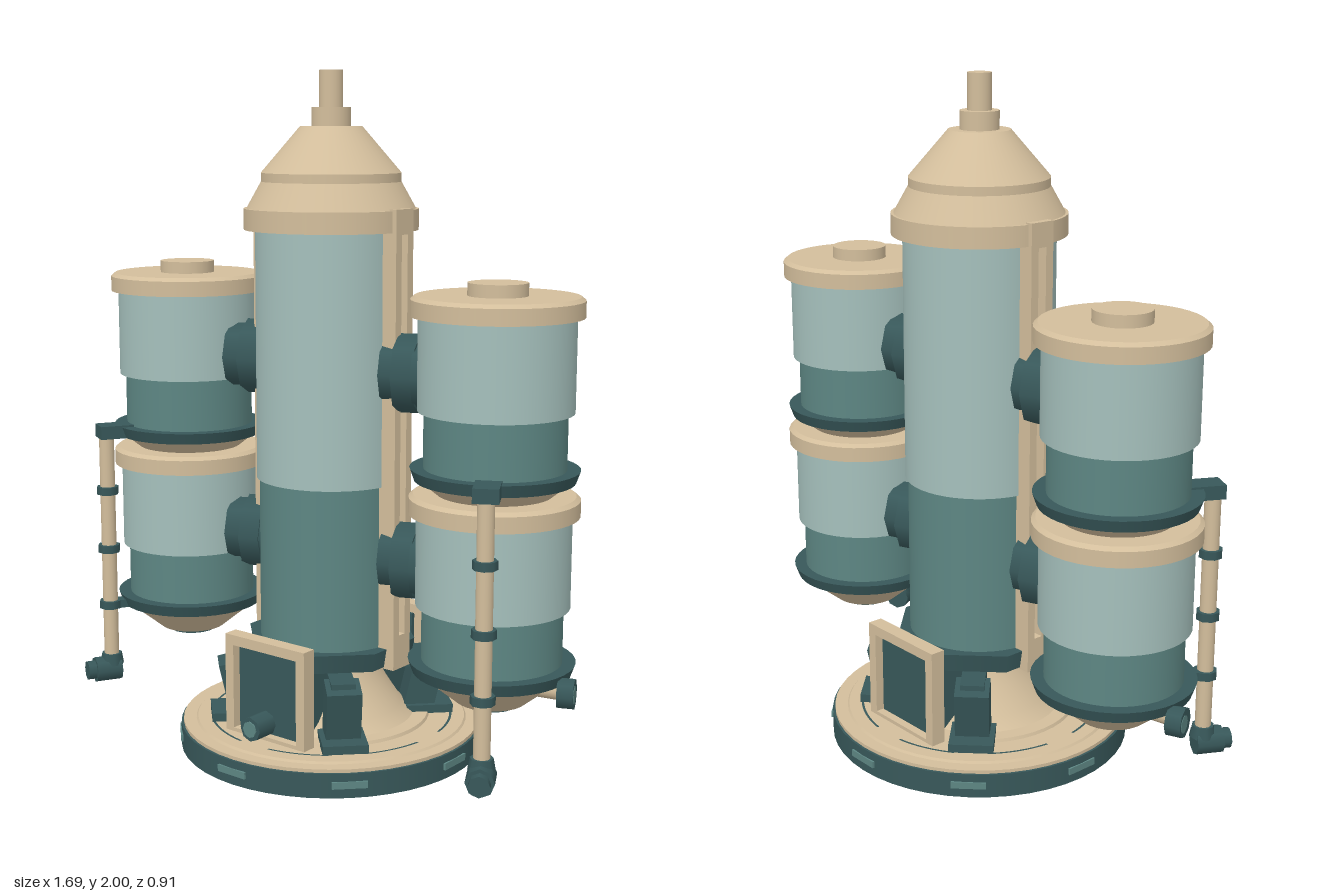
import * as THREE from 'three';

const mat = (name, color) => {
  const m = new THREE.MeshStandardMaterial({ color });
  m.name = name;
  return m;
};

export function createModel() {
  const tan = mat('sand', 0xd3be9c);
  const light = mat('paleTeal', 0xa5c0bc);
  const teal = mat('teal', 0x5d8683);
  const dark = mat('darkTeal', 0x38585a);
  const root = new THREE.Group();
  root.name = 'storageTower';

  const add = (parent, name, geo, material, x = 0, y = 0, z = 0) => {
    const m = new THREE.Mesh(geo, material);
    m.name = name;
    m.position.set(x, y, z);
    parent.add(m);
    return m;
  };
  // Upright cylinder or cone frustum between two heights
  const cyl = (parent, name, rTop, rBottom, y0, y1, material, x = 0, z = 0, n = 40) =>
    add(parent, name, new THREE.CylinderGeometry(rTop, rBottom, y1 - y0, n), material, x, (y0 + y1) / 2, z);
  // Cylinder lying along x
  const cylX = (parent, name, r, x0, x1, y, material, n = 16, z = 0) => {
    const m = add(parent, name, new THREE.CylinderGeometry(r, r, x1 - x0, n).rotateX(Math.PI / n), material, (x0 + x1) / 2, y, z);
    m.rotation.z = Math.PI / 2;
    return m;
  };
  const box = (parent, name, w, h, d, material, x, y, z) =>
    add(parent, name, new THREE.BoxGeometry(w, h, d), material, x, y, z);
  // Rectangular frame with a rectangular opening, extruded along z
  const frame = (w, y0, y1, holeW, h0, h1, depth) => {
    const s = new THREE.Shape([[-w, y0], [w, y0], [w, y1], [-w, y1]].map(p => new THREE.Vector2(...p)));
    s.holes.push(new THREE.Path([[-holeW, h0], [-holeW, h1], [holeW, h1], [holeW, h0]].map(p => new THREE.Vector2(...p))));
    return new THREE.ExtrudeGeometry(s, { depth, bevelEnabled: false });
  };

  // Round base with a stepped deck
  const base = new THREE.Group();
  base.name = 'base';
  root.add(base);
  cyl(base, 'baseDisc', 0.45, 0.45, 0.022, 0.093, dark, 0, 0, 48);
  cyl(base, 'baseRim', 0.443, 0.443, 0.093, 0.103, tan, 0, 0, 48);
  cyl(base, 'deckStep', 0.4, 0.405, 0.103, 0.109, tan, 0, 0, 48);
  cyl(base, 'deckPlate', 0.29, 0.295, 0.106, 0.118, tan, 0, 0, 48);
  for (let i = 0; i < 8; i++) {
    const a = i * Math.PI / 4;
    const arc = add(base, 'deckGroove', new THREE.RingGeometry(0.355, 0.362, 12, 1, a + 0.15, 0.5), dark, 0, 0.1105, 0);
    arc.rotation.x = -Math.PI / 2;
    const slot = box(base, 'rimSlot', 0.1, 0.02, 0.008, teal, Math.sin(a) * 0.449, 0.06, Math.cos(a) * 0.449);
    slot.rotation.y = a;
  }

  // Flared pedestal
  const flare = [[0.25, 0.115], [0.21, 0.15], [0.165, 0.22], [0.13, 0.285], [0.13, 0.32]];
  add(base, 'pedestal', new THREE.LatheGeometry(flare.map(p => new THREE.Vector2(...p)), 40), tan);
  const ring = cyl(base, 'pedestalRing', 0.255, 0.245, 0.305, 0.36, dark, 0, 0, 8);
  ring.rotation.y = Math.PI / 8;

  // Leaning diagonal braces with feet under the base
  for (let i = 0; i < 4; i++) {
    const a = Math.PI / 4 + i * Math.PI / 2;
    const brace = new THREE.Group();
    brace.name = 'brace';
    brace.rotation.y = a;
    base.add(brace);
    const block = box(brace, 'braceBlock', 0.1, 0.18, 0.09, dark, 0, 0.2, 0.275);
    block.rotation.x = 0.22;
    box(brace, 'braceCap', 0.07, 0.05, 0.12, dark, 0, 0.275, 0.25);
    box(brace, 'braceFoot', 0.13, 0.025, 0.14, dark, 0, 0.125, 0.29);
    cyl(brace, 'foot', 0.045, 0.035, 0, 0.024, dark, 0, 0.3, 8);
  }

  // Framed hatches at the front and the back
  for (const s of [1, -1]) {
    const hatch = new THREE.Group();
    hatch.name = s > 0 ? 'frontHatch' : 'backHatch';
    hatch.rotation.y = s > 0 ? 0 : Math.PI;
    base.add(hatch);
    add(hatch, 'hatchFrame', frame(0.147, 0.105, 0.4, 0.117, 0.12, 0.37, 0.045), tan, 0, 0, 0.263);
    box(hatch, 'hatchPanel', 0.23, 0.26, 0.03, dark, 0, 0.243, 0.268);
    box(hatch, 'hatchDuct', 0.2, 0.22, 0.14, dark, 0, 0.22, 0.19);
    if (s > 0) {
      const knob = cyl(hatch, 'hatchValve', 0.036, 0.036, 0.125, 0.195, dark, 0, 0.335, 8);
      knob.rotation.x = Math.PI / 2;
      const face = cyl(hatch, 'valveFace', 0.024, 0.024, 0.157, 0.163, teal, 0, 0.371, 8);
      face.rotation.x = Math.PI / 2;
    }
  }

  // Central tank
  const tank = new THREE.Group();
  tank.name = 'centralTank';
  root.add(tank);
  cyl(tank, 'tankLower', 0.21, 0.21, 0.32, 0.835, teal, 0, 0, 48);
  cyl(tank, 'tankUpper', 0.218, 0.218, 0.835, 1.56, light, 0, 0, 48);
  cyl(tank, 'tankCollar', 0.25, 0.25, 1.555, 1.615, tan, 0, 0, 48);
  cyl(tank, 'domeSkirt', 0.2, 0.242, 1.615, 1.69, tan, 0, 0, 48);
  cyl(tank, 'domeBand', 0.2, 0.2, 1.69, 1.715, tan, 0, 0, 48);
  cyl(tank, 'domeCone', 0.088, 0.2, 1.715, 1.845, tan, 0, 0, 48);
  cyl(tank, 'ventCollar', 0.056, 0.056, 1.845, 1.897, tan, 0, 0, 24);
  cyl(tank, 'ventPipe', 0.034, 0.034, 1.897, 2.0, tan, 0, 0, 24);

  // A pair of stacked pods on each side
  for (const s of [1, -1]) {
    const side = new THREE.Group();
    side.name = s > 0 ? 'leftPods' : 'rightPods';
    root.add(side);
    const px = s * 0.567;
    const alongX = (name, r, a, b, y, m, n) => cylX(side, name, r, Math.min(s * a, s * b), Math.max(s * a, s * b), y, m, n);

    // Slotted rail on the tank
    const rail = add(side, 'rail', frame(0.04, 0.3, 1.62, 0.014, 0.4, 1.55, 0.06), tan, s * 0.2, 0, 0);
    rail.rotation.y = s * Math.PI / 2;
    box(side, 'railSlot', 0.02, 1.15, 0.03, dark, s * 0.215, 0.975, 0);

    for (const y of [0.36, 0.9]) {
      const pod = new THREE.Group();
      pod.name = y > 0.5 ? 'upperPod' : 'lowerPod';
      pod.position.set(px, y, 0);
      side.add(pod);
      cyl(pod, 'podCone', 0.205, 0.1, -0.085, 0, tan);
      cyl(pod, 'podOutlet', 0.074, 0.074, -0.098, -0.083, dark, 0, 0, 16);
      cyl(pod, 'podFlange', 0.232, 0.22, 0, 0.034, dark);
      cyl(pod, 'podLower', 0.195, 0.195, 0.03, 0.19, teal);
      cyl(pod, 'podUpper', 0.213, 0.213, 0.19, 0.45, light);
      cyl(pod, 'podLid', 0.234, 0.234, 0.447, 0.492, tan);
      cyl(pod, 'podLidTop', 0.222, 0.234, 0.492, 0.502, tan);
      if (y > 0.5) cyl(pod, 'podCap', 0.082, 0.082, 0.5, 0.537, tan, 0, 0, 24);
      // Octagonal coupling to the tank
      alongX('couplingInner', 0.088, 0.2, 0.26, y + 0.265, dark, 8);
      alongX('couplingHub', 0.112, 0.25, 0.312, y + 0.265, dark, 8);
      alongX('couplingOuter', 0.095, 0.312, 0.375, y + 0.265, dark, 8);
    }

    // Side nozzle on the lower pod
    alongX('nozzlePipe', 0.027, 0.66, 0.79, 0.345, tan, 16);
    alongX('nozzleNut', 0.043, 0.785, 0.83, 0.345, dark, 8);
    alongX('nozzleFace', 0.026, 0.828, 0.833, 0.345, teal, 8);

    // Drain pipe with clamps, facing diagonally outward
    const drain = new THREE.Group();
    drain.name = 'drainPipe';
    drain.position.set(s * 0.695, 0, 0.238);
    drain.rotation.y = s * 0.5;
    side.add(drain);
    cyl(drain, 'pipe', 0.023, 0.023, 0.18, 0.92, tan, 0, 0, 16);
    for (const y of [0.37, 0.55, 0.735]) cyl(drain, 'clamp', 0.034, 0.034, y - 0.012, y + 0.012, dark, 0, 0, 8);
    box(drain, 'topBracket', 0.07, 0.04, 0.11, dark, 0, 0.92, -0.03);
    box(drain, 'lowerBracket', 0.04, 0.025, 0.09, dark, 0, 0.37, -0.045);
    cyl(drain, 'drainSocket', 0.032, 0.038, 0.175, 0.21, dark, 0, 0, 8);
    const elbow = cyl(drain, 'drainElbow', 0.04, 0.04, 0.12, 0.2, dark, 0, 0.015, 8);
    elbow.rotation.x = Math.PI / 2;
    const tap = cyl(drain, 'drainMouth', 0.03, 0.03, 0.145, 0.175, dark, 0, 0.065, 8);
    tap.rotation.x = Math.PI / 2;
  }
  return root;
}
